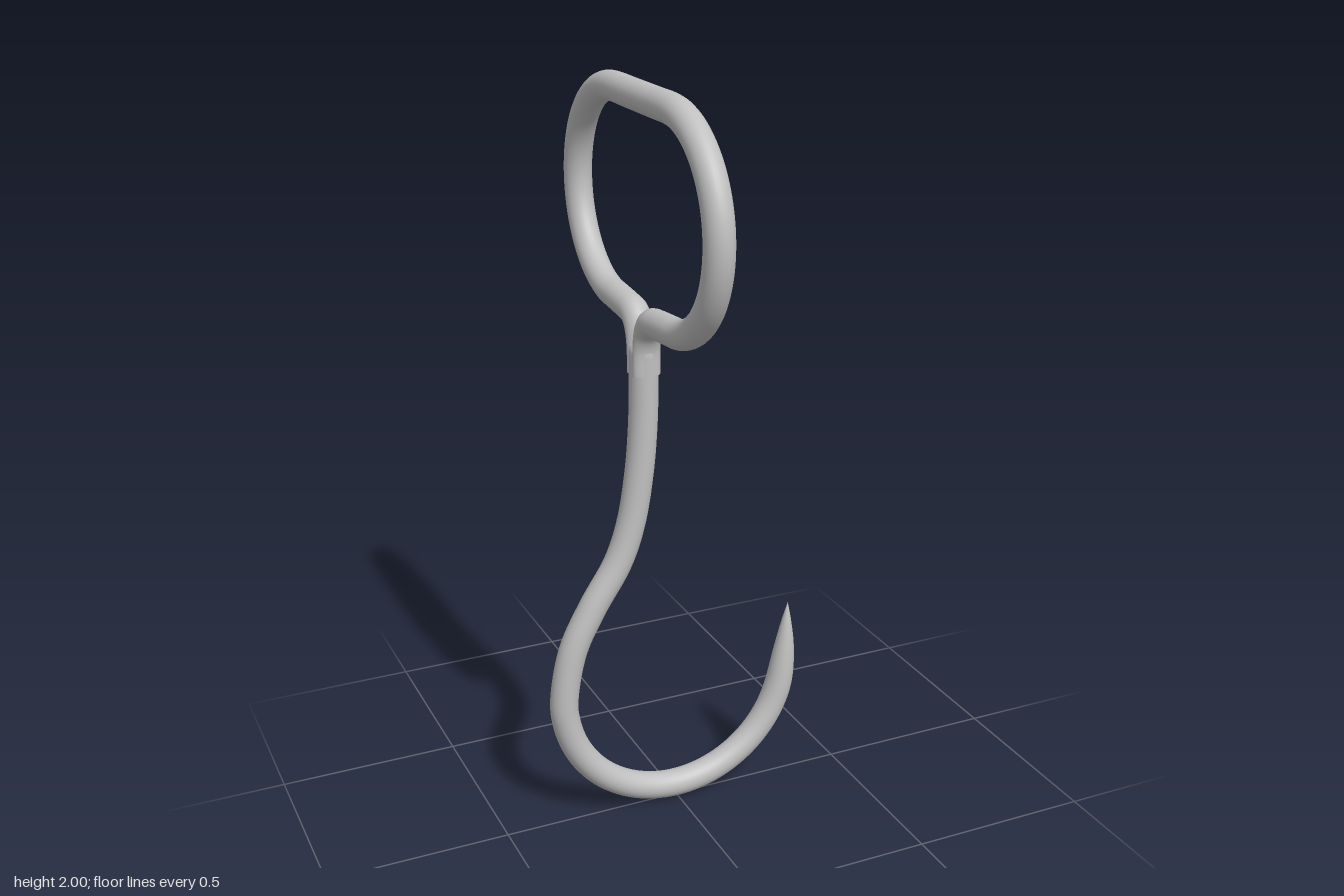
import * as THREE from 'three';

const WIRE = 0.038;   // wire radius
const SHAFT_X = -0.09; // x of the straight shaft and handle

// Sweeps an elliptical section along a planar path.
// inPlane(s, length) gives the radius within the plane, across(s, length) the one along its normal.
function sweep(points, planeNormal, inPlane, across, steps = 220, sides = 28) {
  const curve = new THREE.CatmullRomCurve3(points, false, 'centripetal');
  curve.arcLengthDivisions = 1000;
  const length = curve.getLength();
  const positions = [], indices = [];
  for (let i = 0; i <= steps; i++) {
    const u = i / steps;
    const p = curve.getPointAt(u);
    const side = new THREE.Vector3().crossVectors(planeNormal, curve.getTangentAt(u)).normalize();
    const a = inPlane(u * length, length), b = across(u * length, length);
    for (let j = 0; j < sides; j++) {
      const angle = (j / sides) * Math.PI * 2;
      const v = p.clone()
        .addScaledVector(side, Math.cos(angle) * a)
        .addScaledVector(planeNormal, Math.sin(angle) * b);
      positions.push(v.x, v.y, v.z);
      if (i < steps) {
        const k = (j + 1) % sides;
        const p0 = i * sides + j, p1 = i * sides + k;
        indices.push(p0, p1, p0 + sides, p1, p1 + sides, p0 + sides);
      }
    }
  }
  const geometry = new THREE.BufferGeometry();
  geometry.setAttribute('position', new THREE.Float32BufferAttribute(positions, 3));
  geometry.setIndex(indices);
  geometry.computeVertexNormals();
  return geometry;
}

export function createModel() {
  const group = new THREE.Group();
  group.name = 'handHook';
  const steel = new THREE.MeshStandardMaterial({ color: 0xc0c0c0 });
  steel.name = 'steel';

  // Handle loop: one half as [z, y], then mirrored across z = 0
  const half = [[0.018, 1.27], [0.019, 1.34], [0.03, 1.386], [0.055, 1.415], [0.09, 1.421]];
  for (let i = 0; i <= 16; i++) {
    const a = -Math.PI / 2 + (i / 16) * Math.PI;
    half.push([0.165 + 0.267 * Math.cos(a), 1.695 + 0.267 * Math.sin(a)]);
  }
  half.push([0.08, 1.962]);
  const loop = [...half, ...half.slice().reverse().map(([z, y]) => [-z, y])]
    .map(([z, y]) => new THREE.Vector3(SHAFT_X, y, z));

  // The wire flattens where both ends merge into the shaft
  const flatten = (s, length) =>
    THREE.MathUtils.lerp(0.019, WIRE, THREE.MathUtils.smoothstep(Math.min(s, length - s), 0.06, 0.17));
  const handle = new THREE.Mesh(
    sweep(loop, new THREE.Vector3(1, 0, 0), flatten, () => WIRE - 0.0005), steel);
  handle.name = 'handle';
  group.add(handle);

  // Shaft and hook: straight shank, S-bend, round bowl, pointed tip
  const path = [[SHAFT_X, 1.36], [SHAFT_X, 1.28], [-0.093, 1.14], [-0.105, 1.0], [-0.13, 0.86],
    [-0.167, 0.757], [-0.243, 0.635], [-0.3, 0.52]];
  for (let i = 0; i <= 16; i++) {
    const a = Math.PI + (i / 16) * Math.PI * 0.93;
    path.push([0.328 * Math.cos(a), 0.37 + 0.328 * Math.sin(a)]);
  }
  path.push([0.334, 0.4], [0.338, 0.46], [0.342, 0.535]);

  // Rounded top end, hidden in the fork, and a curved taper at the tip
  const radius = (s, length) => {
    const top = Math.min(1, s / 0.03);
    const tip = Math.min(1, (length - s) / 0.28);
    return WIRE * Math.sqrt(Math.max(0, 1 - (1 - top) ** 2)) * (1 - (1 - tip) ** 2);
  };
  const hook = new THREE.Mesh(
    sweep(path.map(([x, y]) => new THREE.Vector3(x, y, 0)), new THREE.Vector3(0, 0, 1), radius, radius), steel);
  hook.name = 'shaftAndHook';
  group.add(hook);

  return group;
}
